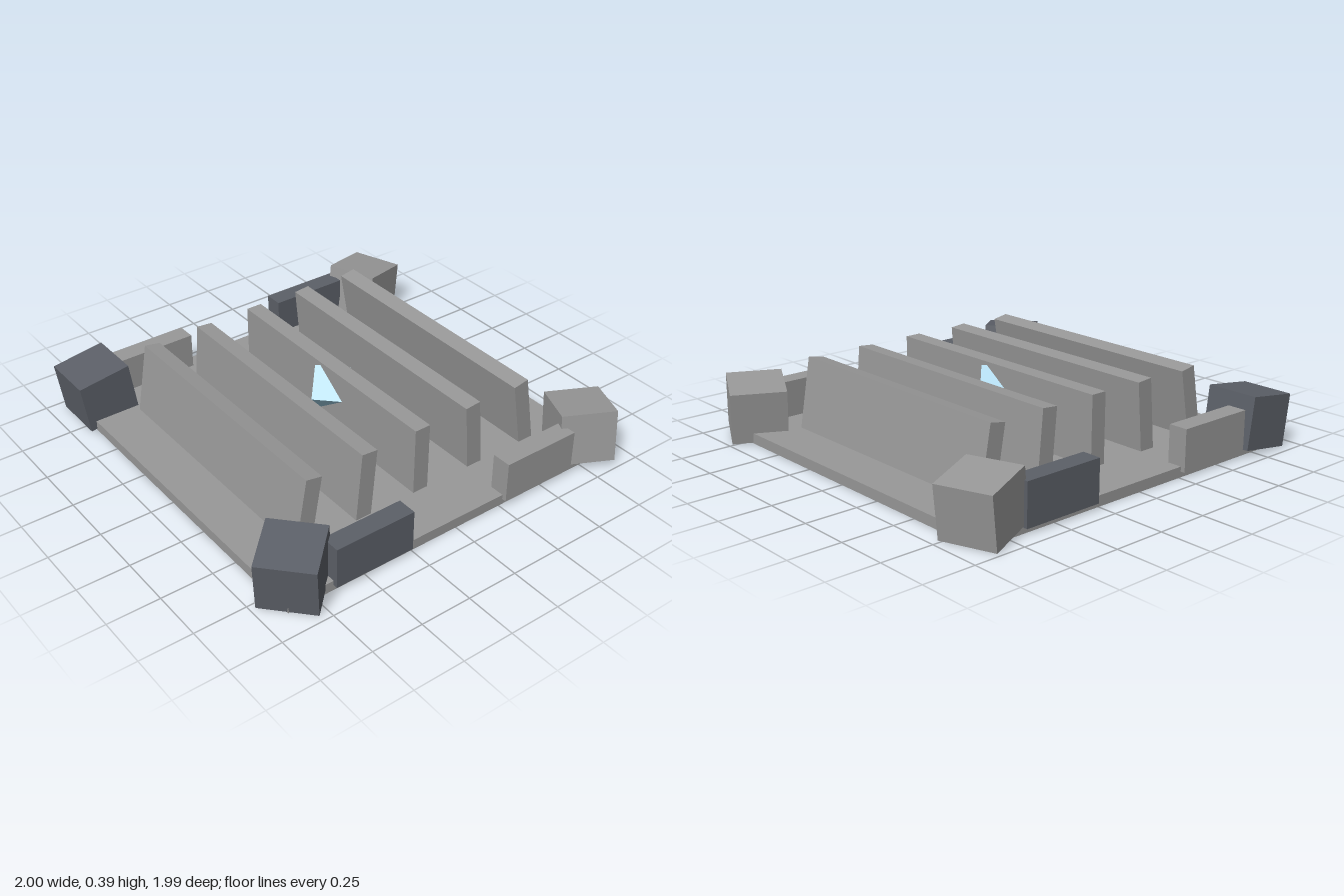
import * as THREE from 'three';

export function createModel() {
  const model = new THREE.Group();
  const grey = new THREE.MeshStandardMaterial({ color: 0x989898, flatShading: true });
  const slate = new THREE.MeshStandardMaterial({ color: 0x5c6068, flatShading: true });
  const blue = new THREE.MeshStandardMaterial({ color: 0x99c8dd, flatShading: true });

  const layout = new THREE.Group();
  layout.name = 'layout';
  layout.position.set(0.005, 0, -0.012);
  model.add(layout);

  function box(name, material, size, position, rotation = [0, 0, 0]) {
    const mesh = new THREE.Mesh(new THREE.BoxGeometry(...size), material);
    mesh.name = name;
    mesh.position.set(...position);
    mesh.rotation.set(...rotation);
    layout.add(mesh);
  }

  // Square floor slab
  box('floor', grey, [1.785, 0.05, 1.785], [0, 0.025, 0]);

  // Five upright panels set into the floor, leaning further inward towards the sides
  for (let i = -2; i <= 2; i++) {
    box('panel', grey, [0.08, 0.345, 1.29], [i * 0.304, 0.21, 0],
      [0, 0, THREE.MathUtils.degToRad(5 * i)]);
  }

  // Low wall pieces along the front and back edges
  for (const x of [-1, 1]) {
    for (const z of [-1, 1]) {
      box('lowWall', x * z < 0 ? slate : grey, [0.4, 0.2, 0.095], [x * 0.465, 0.127, z * 0.867]);
    }
  }

  // Tilted corner blocks: side in x, side in z, turn in degrees
  const corners = [[-1, -1, 0], [-1, 1, 43], [1, 1, 243], [1, -1, 200]];
  for (const [x, z, turn] of corners) {
    box('cornerBlock', x < 0 ? slate : grey, [0.262, 0.25, 0.262], [x * 0.81, 0.145, z * 0.81],
      [0, THREE.MathUtils.degToRad(turn), 0.14]);
  }

  // Small cube balanced on its edge in the middle
  box('centreCube', blue, [0.164, 0.164, 0.164], [0, 0.25, 0], [0, Math.PI / 4, Math.PI / 4]);

  return model;
}
